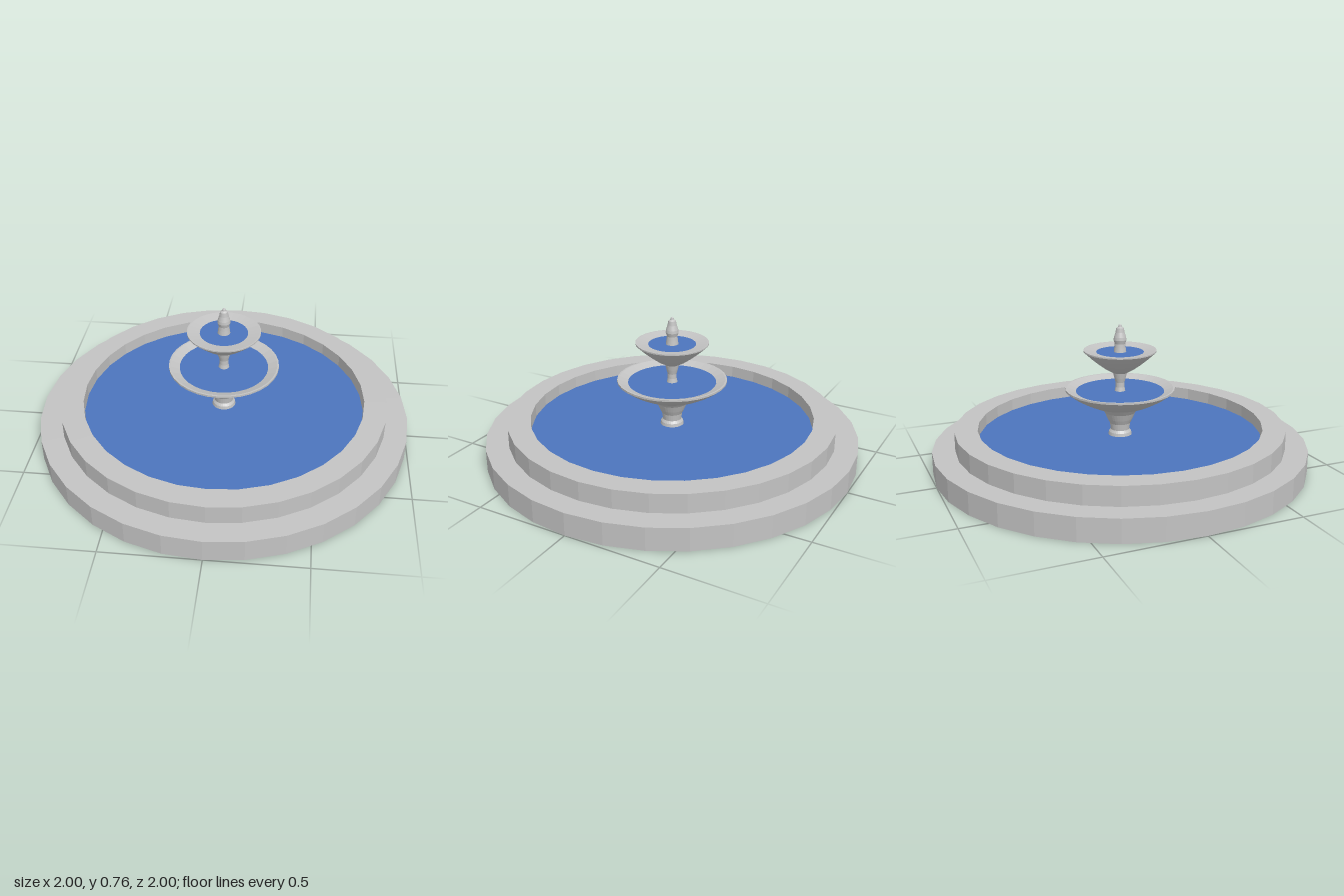
import * as THREE from 'three';

const SIDES = 32;

export function createModel() {
  const stone = new THREE.MeshStandardMaterial({ color: 0xc3c3c3, side: THREE.DoubleSide });
  stone.name = 'pale stone';
  const blue = new THREE.MeshStandardMaterial({ color: 0x4c75bd });
  blue.name = 'blue water';

  const fountain = new THREE.Group();
  fountain.name = 'fountain';

  // Faceted turned part from [radius, height] pairs
  function turned(name, profile) {
    const points = profile.map(([r, y]) => new THREE.Vector2(r, y));
    const geometry = new THREE.LatheGeometry(points, SIDES).toNonIndexed();
    geometry.computeVertexNormals();
    const mesh = new THREE.Mesh(geometry, stone);
    mesh.name = name;
    fountain.add(mesh);
  }

  // Flat water surface
  function water(name, radius, y) {
    const geometry = new THREE.CircleGeometry(radius, SIDES).rotateX(-Math.PI / 2);
    const mesh = new THREE.Mesh(geometry, blue);
    mesh.name = name;
    mesh.position.y = y;
    fountain.add(mesh);
  }

  // Stepped basin: hollow outer shell, inner wall and floor
  turned('basin', [[1, 0], [1, 0.12], [0.88, 0.12], [0.88, 0.22], [0.76, 0.22], [0.76, 0.02], [0, 0.02]]);
  water('basinWater', 0.758, 0.155);

  // Flared pedestal
  turned('pedestal', [[0.064, 0.15], [0.06, 0.172], [0.05, 0.185], [0.055, 0.22], [0.068, 0.245], [0.083, 0.28], [0.105, 0.308]]);

  // Large lower bowl
  turned('lowerBowl', [[0.1, 0.305], [0.15, 0.321], [0.2, 0.345], [0.25, 0.374], [0.288, 0.402], [0.293, 0.406],
    [0.293, 0.416], [0.284, 0.416], [0.22, 0.392]]);
  water('lowerBowlWater', 0.236, 0.398);

  // Slim stem between the bowls
  turned('stem', [[0.03, 0.39], [0.024, 0.42], [0.024, 0.445], [0.031, 0.47], [0.038, 0.5]]);

  // Small upper bowl
  turned('upperBowl', [[0.037, 0.497], [0.075, 0.518], [0.115, 0.547], [0.155, 0.58], [0.193, 0.615],
    [0.193, 0.622], [0.187, 0.622], [0.11, 0.608]]);
  water('upperBowlWater', 0.126, 0.611);

  // Finial with a pointed tip
  turned('finial', [[0.034, 0.605], [0.03, 0.635], [0.028, 0.655], [0.034, 0.675], [0.032, 0.69], [0.024, 0.715],
    [0.02, 0.738], [0.01, 0.745], [0.008, 0.754], [0, 0.76]]);

  return fountain;
}
